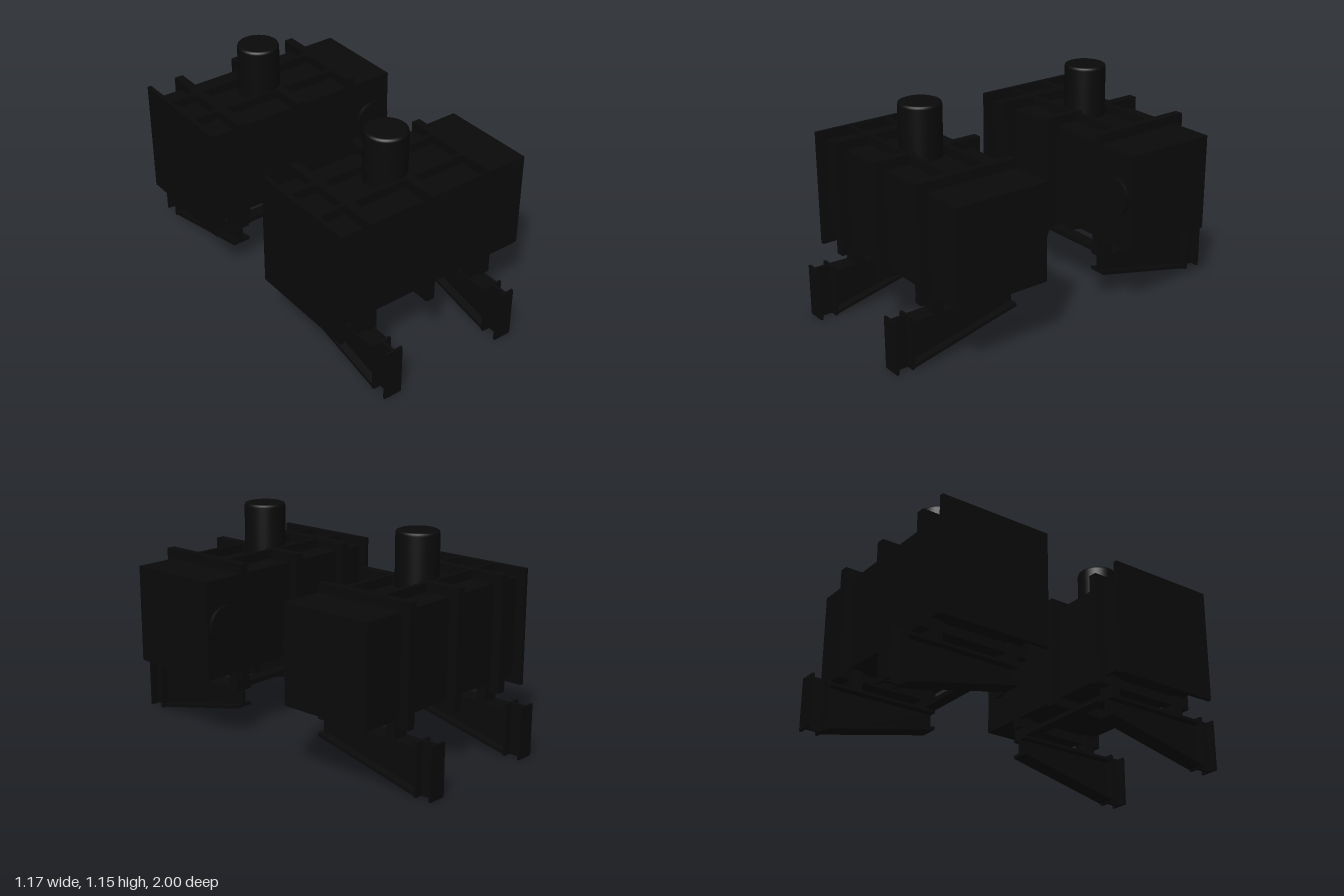
import * as THREE from 'three';

const black = new THREE.MeshStandardMaterial({ color: 0x0a0a0a });

// Box given by its limits; s mirrors it front to back
function box(name, [x0, x1], [y0, y1], [z0, z1], s) {
  const mesh = new THREE.Mesh(new THREE.BoxGeometry(x1 - x0, y1 - y0, z1 - z0), black);
  mesh.name = name;
  mesh.position.set((x0 + x1) / 2, (y0 + y1) / 2, s * (z0 + z1) / 2);
  return mesh;
}

// Plate with a side profile of [z, y] points, centred on x
function sidePlate(name, points, x, width, s) {
  const shape = new THREE.Shape(points.map(([z, y]) => new THREE.Vector2(z * s, y)));
  const geometry = new THREE.ExtrudeGeometry(shape, { depth: width, bevelEnabled: false });
  geometry.rotateY(-Math.PI / 2).translate(width / 2, 0, 0);
  const mesh = new THREE.Mesh(geometry, black);
  mesh.name = name;
  mesh.position.x = x;
  return mesh;
}

// Tapered I-beam bracket with an upright stub at its outer end
function bracket(x, s) {
  const group = new THREE.Group();
  group.name = 'supportBracket';
  const wide = [x - 0.05, x + 0.05];
  group.add(
    sidePlate('web', [[0.29, 0.145], [0.91, 0.005], [0.91, 0.25], [0.29, 0.25]], x, 0.016, s),
    sidePlate('lowerFlange', [[0.29, 0.145], [0.91, 0.005], [0.91, 0.022], [0.29, 0.162]], x, 0.1, s),
    box('upperFlange', wide, [0.236, 0.252], [0.29, 0.91], s),
    box('stubWeb', [x - 0.008, x + 0.008], [0, 0.275], [0.91, 0.99], s),
    box('stubInnerFlange', wide, [0, 0.275], [0.9, 0.914], s),
    box('stubOuterFlange', wide, [0, 0.275], [0.988, 1], s),
  );
  // Feet between bracket and housing
  for (const z of [0.322, 0.75]) {
    group.add(box('foot', [x - 0.045, x + 0.045], [0.25, 0.357], [z - 0.028, z + 0.028], s));
  }
  return group;
}

function createUnit(s) {
  const unit = new THREE.Group();
  unit.name = s > 0 ? 'frontUnit' : 'backUnit';

  // Housing and end box
  unit.add(
    box('housing', [-0.57, 0.34], [0.355, 0.87], [0.275, 0.788], s),
    box('endBox', [0.34, 0.582], [0.355, 0.87], [0.27, 0.79], s),
    box('endPlate', [-0.585, -0.563], [0.305, 0.92], [0.223, 0.84], s),
  );

  // Stiffener frames around the housing
  for (const x of [-0.395, -0.035]) {
    unit.add(box('stiffenerFrame', [x - 0.024, x + 0.024], [0.305, 0.92], [0.223, 0.84], s));
  }
  unit.add(box('endFrame', [0.3, 0.347], [0.305, 0.92], [0.27, 0.84], s));

  // Lengthwise ribs on the roof
  for (const z of [0.42, 0.64]) {
    unit.add(box('roofRib', [-0.57, 0.32], [0.865, 0.918], [z - 0.012, z + 0.012], s));
  }

  // Exhaust stack with a rounded rim
  const profile = [[0.11, 0.86], [0.11, 1.135], [0.106, 1.146], [0.096, 1.15], [0, 1.15]];
  const stack = new THREE.Mesh(
    new THREE.LatheGeometry(profile.map(([r, y]) => new THREE.Vector2(r, y)), 40), black);
  stack.name = 'stack';
  stack.position.set(-0.085, 0, 0.53 * s);
  unit.add(stack);

  // Round port on the inner face of the end box
  const port = new THREE.Mesh(new THREE.CylinderGeometry(0.1, 0.1, 0.04, 36), black);
  port.name = 'roundPort';
  port.rotation.x = Math.PI / 2;
  port.position.set(0.47, 0.63, 0.27 * s);
  unit.add(port);

  // Brackets and the bar that ties them
  for (const x of [-0.39, 0.32]) unit.add(bracket(x, s));
  unit.add(box('tieBar', [-0.39, 0.32], [0.25, 0.276], [0.292, 0.355], s));
  return unit;
}

export function createModel() {
  const model = new THREE.Group();
  model.name = 'twinUnits';
  for (const s of [1, -1]) model.add(createUnit(s));
  return model;
}
